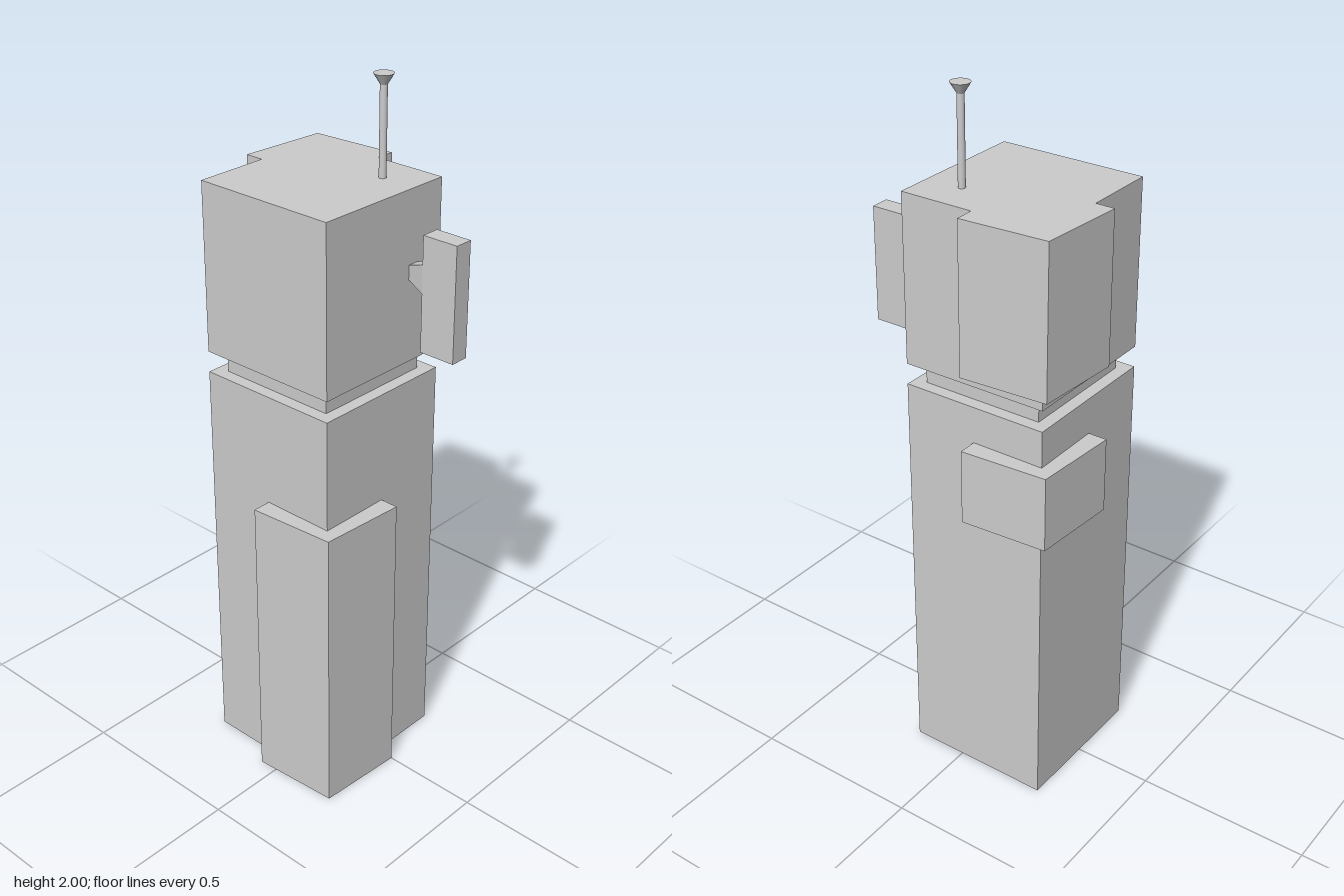
import * as THREE from 'three';

export function createModel() {
  const group = new THREE.Group();
  const flat = new THREE.MeshStandardMaterial({ color: 0xcccccc, flatShading: true });
  const smooth = new THREE.MeshStandardMaterial({ color: 0xcccccc });

  const add = (name, geometry, material = flat) => {
    const mesh = new THREE.Mesh(geometry, material);
    mesh.name = name;
    group.add(mesh);
    return mesh;
  };

  // Box given by its limits on each axis
  const box = (name, [x0, x1], [y0, y1], [z0, z1]) =>
    add(name, new THREE.BoxGeometry(x1 - x0, y1 - y0, z1 - z0))
      .position.set((x0 + x1) / 2, (y0 + y1) / 2, (z0 + z1) / 2);

  // Vertical prism over a footprint of [x, z] corners
  const prism = (name, corners, y0, y1) => {
    const shape = new THREE.Shape(corners.map(([x, z]) => new THREE.Vector2(x, -z)));
    const geometry = new THREE.ExtrudeGeometry(shape, { depth: y1 - y0, bevelEnabled: false });
    geometry.rotateX(-Math.PI / 2).translate(0, y0, 0);
    add(name, geometry);
  };

  // Tower: shaft, recessed neck and head
  box('towerShaft', [-0.27, 0.161], [0, 1.19], [-0.216, 0.216]);
  box('neck', [-0.234, 0.125], [1.19, 1.25], [-0.18, 0.18]);
  box('head', [-0.27, 0.161], [1.25, 1.73], [-0.216, 0.216]);

  // Slightly skewed blocks wrapping two opposite corners
  const frontCorner = [[-0.055, 0], [-0.055, 0.27], [0.2, 0.254], [0.215, 0]];
  const backCorner = [[-0.055, 0], [-0.055, -0.271], [-0.309, -0.255], [-0.325, 0]];
  prism('frontCornerBlock', frontCorner, 0, 0.868);
  prism('lowerBackCornerBlock', backCorner, 0.868, 1.085);
  prism('upperBackCornerBlock', backCorner, 1.3, 1.73);

  // Side panel on a flaring square arm
  box('sidePanel', [0.215, 0.323], [1.3, 1.625], [-0.136, -0.082]);
  const arm = new THREE.BoxGeometry(0.055, 0.08, 0.054);
  const p = arm.attributes.position;
  for (let i = 0; i < p.count; i++) {
    if (p.getX(i) < 0) p.setXYZ(i, p.getX(i), p.getY(i) * 0.5, p.getZ(i) * 0.57);
  }
  add('panelArm', arm).position.set(0.188, 1.505, -0.109);

  // Antenna with a flared tip
  add('antennaRod', new THREE.CylinderGeometry(0.01, 0.01, 0.25, 24), smooth)
    .position.set(0.054, 1.85, -0.109);
  add('antennaTip', new THREE.CylinderGeometry(0.027, 0.01, 0.028, 24), smooth)
    .position.set(0.054, 1.986, -0.109);

  return group;
}
